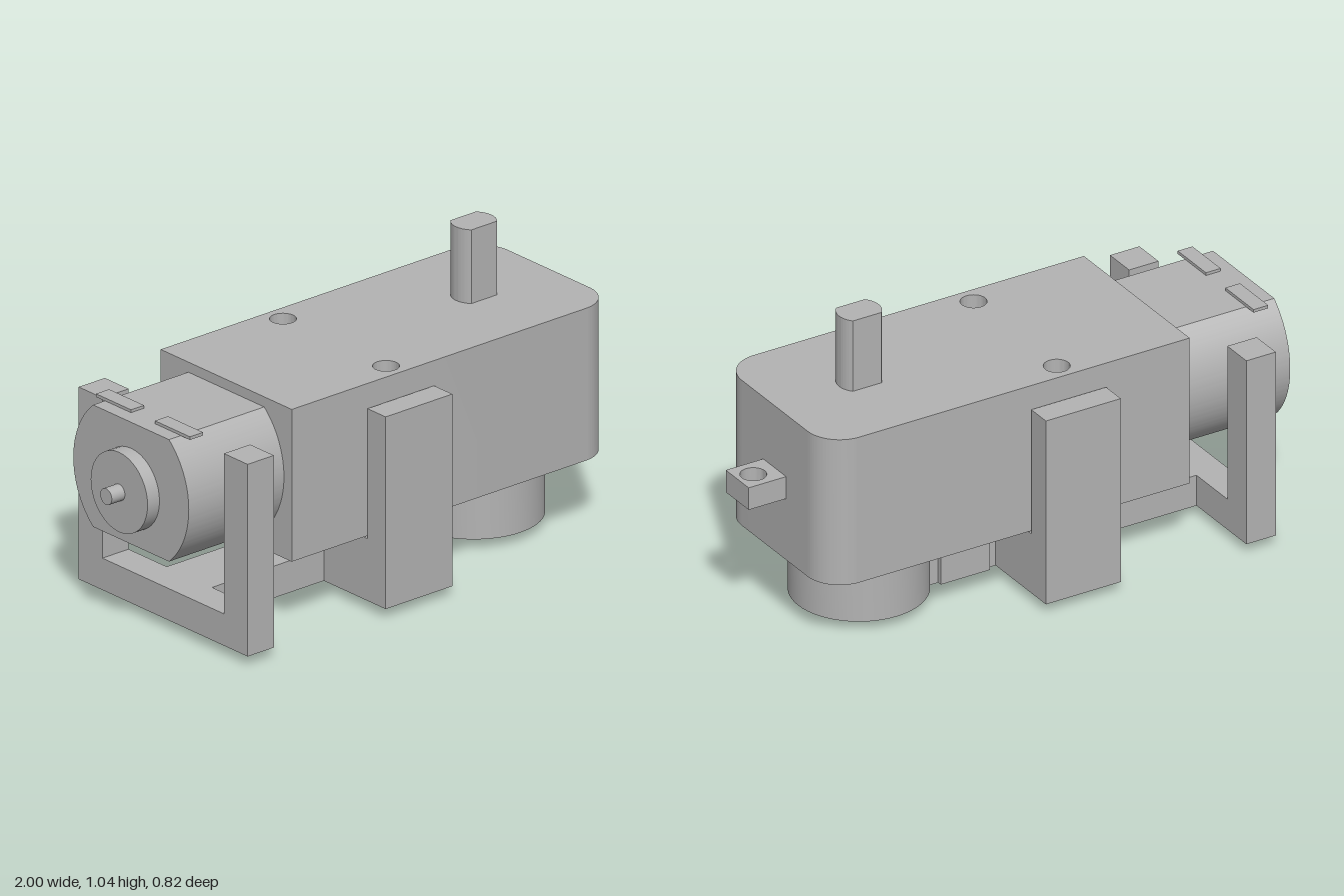
import * as THREE from 'three';
import { toCreasedNormals } from 'three/addons/utils/BufferGeometryUtils.js';

export function createModel() {
  const model = new THREE.Group();
  model.name = 'gearMotorWithBracket';
  const grey = new THREE.MeshStandardMaterial({ color: 0xb3b3b3 });
  grey.name = 'plainGrey';

  function add(name, geometry, parent = model) {
    const mesh = new THREE.Mesh(geometry, grey);
    mesh.name = name;
    parent.add(mesh);
    return mesh;
  }
  // Box given by its limits on each axis
  function box(name, x0, x1, y0, y1, z0, z1, parent) {
    const g = new THREE.BoxGeometry(x1 - x0, y1 - y0, z1 - z0);
    g.translate((x0 + x1) / 2, (y0 + y1) / 2, (z0 + z1) / 2);
    return add(name, g, parent);
  }
  function extrude(shape, depth) {
    return new THREE.ExtrudeGeometry(shape, { depth, bevelEnabled: false, curveSegments: 32 });
  }
  // Plan outline raised from y0 to y1
  function upright(name, shape, y0, y1, parent) {
    const g = extrude(shape, y1 - y0).rotateX(-Math.PI / 2).translate(0, y0, 0);
    return add(name, toCreasedNormals(g, 0.5), parent);
  }
  function rect(x0, x1, z0, z1) {
    return new THREE.Shape([[x0, z0], [x1, z0], [x1, z1], [x0, z1]].map((p) => new THREE.Vector2(...p)));
  }
  function roundHole(x, z, r) {
    return new THREE.Path().absarc(x, z, r, 0, Math.PI * 2, true);
  }
  function hexHole(x, z, r) {
    const pts = [];
    for (let i = 0; i < 6; i++) {
      const a = (-i * Math.PI) / 3;
      pts.push(new THREE.Vector2(x + r * Math.cos(a), z + r * Math.sin(a)));
    }
    return new THREE.Path(pts);
  }
  // Circle with two opposite flats at +-h
  function flattedCircle(x, y, r, h) {
    const a = Math.asin(h / r);
    const s = new THREE.Shape();
    s.absarc(x, y, r, -a, a, false);
    s.absarc(x, y, r, Math.PI - a, Math.PI + a, false);
    s.closePath();
    return s;
  }

  const boltX = -0.04, boltZ = 0.25, boltR = 0.043, shaftX = 0.545;

  // Gearbox, rounded at the output end, with two through bolt holes
  const gearbox = new THREE.Group();
  gearbox.name = 'gearbox';
  model.add(gearbox);
  const w = 0.318, r = 0.12, end = 0.86;
  const body = new THREE.Shape();
  body.moveTo(-0.495, -w);
  body.lineTo(end - r, -w);
  body.absarc(end - r, -w + r, r, -Math.PI / 2, 0, false);
  body.absarc(end - r, w - r, r, 0, Math.PI / 2, false);
  body.lineTo(-0.495, w);
  body.closePath();
  for (const s of [-1, 1]) body.holes.push(roundHole(boltX, s * boltZ, boltR));
  upright('gearboxBody', body, 0.258, 0.785, gearbox);

  // Mounting tab on the end
  const tab = rect(0.855, 1, -0.069, 0.069);
  tab.holes.push(roundHole(0.94, 0, boltR));
  upright('mountingTab', tab, 0.48, 0.56, gearbox);

  // Locating peg and output shaft
  const peg = new THREE.CylinderGeometry(0.055, 0.055, 0.1, 32);
  peg.translate(0.225, 0.21, 0);
  add('locatingPeg', peg, gearbox);
  upright('outputShaft', flattedCircle(shaftX, 0, 0.074, 0.051), 0, 1.04, gearbox);

  // Motor can with flat top and bottom, lying along x
  const motor = new THREE.Group();
  motor.name = 'motor';
  model.add(motor);
  const can = extrude(flattedCircle(0, 0, 0.28, 0.211), 0.405);
  can.rotateY(Math.PI / 2).translate(-0.895, 0.539, 0);
  add('motorCan', toCreasedNormals(can, 0.5), motor);

  function lyingCylinder(name, radius, x0, x1) {
    const g = new THREE.CylinderGeometry(radius, radius, x1 - x0, 40);
    g.rotateZ(Math.PI / 2).translate((x0 + x1) / 2, 0.522, 0);
    add(name, g, motor);
  }
  lyingCylinder('motorEndBoss', 0.138, -0.945, -0.89);
  lyingCylinder('motorShaft', 0.028, -1, -0.94);
  for (const s of [-1, 1]) {
    const z = s * 0.143;
    box('motorTerminal', -0.845, -0.79, 0.749, 0.76, z - 0.085, z + 0.085, motor);
  }

  // Bracket: spine, cross pieces and four upright arms
  const bracket = new THREE.Group();
  bracket.name = 'bracket';
  model.add(bracket);
  const base = 0.035, bar = 0.145, top = 0.25, out = 0.41;
  box('rearSpine', -0.65, -0.18, base, bar, -0.11, 0.11, bracket);
  box('frontSpine', 0.1, 0.36, base, bar, -0.107, 0.107, bracket);
  box('rearCrossBar', -0.76, -0.65, base, bar, -out, out, bracket);
  box('pegBlock', 0.13, 0.315, base, top, -0.123, 0.123, bracket);

  // Middle saddle: hexagonal nut pockets below, round bolt holes above
  const lower = rect(-0.18, 0.1, -out, out);
  const upper = rect(-0.18, 0.1, -out, out);
  for (const s of [-1, 1]) {
    lower.holes.push(hexHole(boltX, s * boltZ, 0.092));
    upper.holes.push(roundHole(boltX, s * boltZ, boltR));
  }
  upright('saddleNutPockets', lower, base, bar, bracket);
  upright('saddleTop', upper, bar, top, bracket);

  for (const s of [-1, 1]) {
    const arm = (name, x0, x1, y0, inner) =>
      box(name, x0, x1, y0, 0.7, Math.min(s * inner, s * out), Math.max(s * inner, s * out), bracket);
    arm('rearArm', -0.76, -0.65, bar, 0.295);
    arm('middleArm', -0.18, 0.1, top, 0.322);
  }

  // Ring around the lower end of the shaft
  const ring = new THREE.Shape().absarc(shaftX, 0, 0.227, 0, Math.PI * 2, false);
  ring.holes.push(roundHole(shaftX, 0, 0.147));
  upright('shaftRing', ring, base, top, bracket);

  return model;
}
